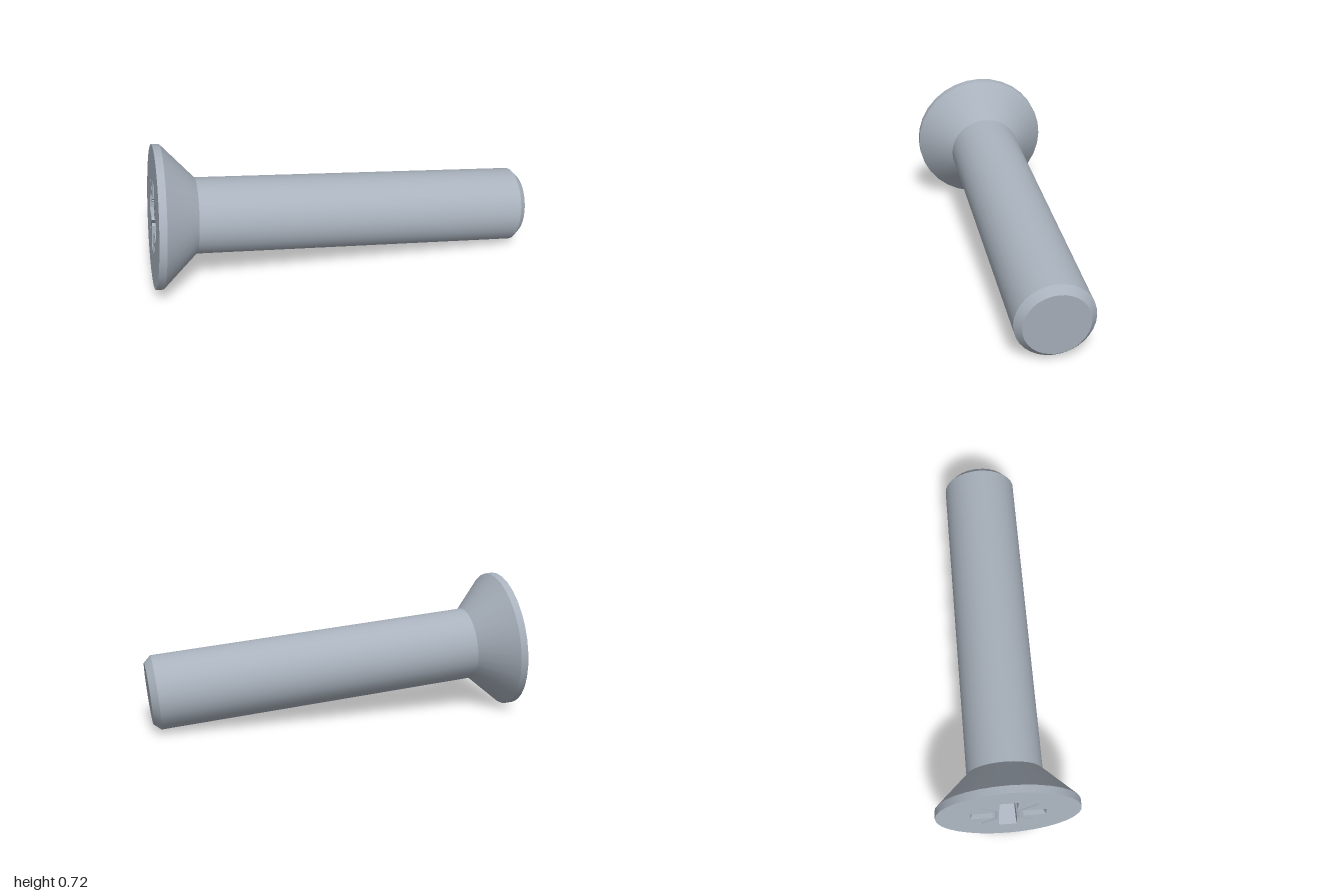
import * as THREE from 'three';

const SIDES = 32;
const HEAD = new THREE.Vector3(-0.92, 0.363, -0.115); // centre of the head face
const TIP = new THREE.Vector3(0.964, 0.19, 0.285);    // centre of the tip face
const LENGTH = HEAD.distanceTo(TIP);

// Cross-shaped drive outline: four wide wings with a thin slot between each pair
function driveOutline(wingReach, wingHalf, inner, slotReach, slotHalf) {
  const d = Math.SQRT1_2;
  const onDiagonal = (r, s) => [r * d - s * d, r * d + s * d];
  const slotBase = inner * 1.1;
  const quarter = [
    [wingReach, -wingHalf], [wingReach, wingHalf], [inner, wingHalf],
    onDiagonal(slotBase, -slotHalf), onDiagonal(slotReach, -slotHalf),
    onDiagonal(slotReach, slotHalf), onDiagonal(slotBase, slotHalf),
    [wingHalf, inner],
  ];
  const points = [];
  for (let k = 0; k < 4; k++) {
    for (const [x, y] of quarter) {
      points.push(new THREE.Vector2(x, y).rotateAround(new THREE.Vector2(), k * Math.PI / 2));
    }
  }
  return points;
}

// Tapered recess walls and a shallow conical floor
function recessGeometry(top, bottom, depth, centreDepth) {
  const pos = [];
  const put = (p, z) => pos.push(p.x, p.y, z);
  const centre = new THREE.Vector2();
  top.forEach((a, i) => {
    const j = (i + 1) % top.length;
    const b = top[j], A = bottom[i], B = bottom[j];
    put(a, 0); put(b, 0); put(A, -depth);
    put(b, 0); put(B, -depth); put(A, -depth);
    put(A, -depth); put(B, -depth); put(centre, -centreDepth);
  });
  const geo = new THREE.BufferGeometry();
  geo.setAttribute('position', new THREE.Float32BufferAttribute(pos, 3));
  geo.computeVertexNormals();
  return geo.rotateX(-Math.PI / 2);
}

export function createModel() {
  const steel = new THREE.MeshStandardMaterial({ color: 0xa9b2bd });
  steel.name = 'steel';
  const screw = new THREE.Group();
  screw.name = 'countersunkScrew';
  const add = (name, geo) => {
    const mesh = new THREE.Mesh(geo, steel);
    mesh.name = name;
    screw.add(mesh);
  };

  // Turned body, one band per surface so the edges stay sharp
  const bands = [
    ['tipFace', 0, -LENGTH, 0.159, -LENGTH],
    ['tipChamfer', 0.159, -LENGTH, 0.192, -LENGTH + 0.036],
    ['shaft', 0.192, -LENGTH + 0.036, 0.192, -0.208],
    ['headCone', 0.192, -0.208, 0.362, -0.038],
    ['headRim', 0.362, -0.038, 0.362, 0],
  ];
  for (const [name, r0, y0, r1, y1] of bands) {
    add(name, new THREE.LatheGeometry([new THREE.Vector2(r0, y0), new THREE.Vector2(r1, y1)], SIDES));
  }

  // Flat head face with the drive opening cut out
  const opening = driveOutline(0.188, 0.045, 0.078, 0.2, 0.008);
  const rim = Array.from({ length: SIDES }, (_, i) => {
    const a = i / SIDES * Math.PI * 2;
    return new THREE.Vector2(0.362 * Math.cos(a), 0.362 * Math.sin(a));
  });
  const face = new THREE.Shape(rim);
  face.holes.push(new THREE.Path(opening));
  add('headFace', new THREE.ShapeGeometry(face).rotateX(-Math.PI / 2));

  // Drive recess
  const base = driveOutline(0.115, 0.038, 0.062, 0.09, 0.006);
  add('driveRecess', recessGeometry(opening, base, 0.15, 0.18));

  // Lay the screw along its slanted axis
  const up = HEAD.clone().sub(TIP).normalize();
  const side = new THREE.Vector3().crossVectors(up, new THREE.Vector3(0, 1, 0)).normalize();
  const third = new THREE.Vector3().crossVectors(side, up);
  screw.quaternion.setFromRotationMatrix(new THREE.Matrix4().makeBasis(side, up, third));
  screw.position.copy(HEAD);

  const model = new THREE.Group();
  model.name = 'model';
  model.add(screw);
  return model;
}
